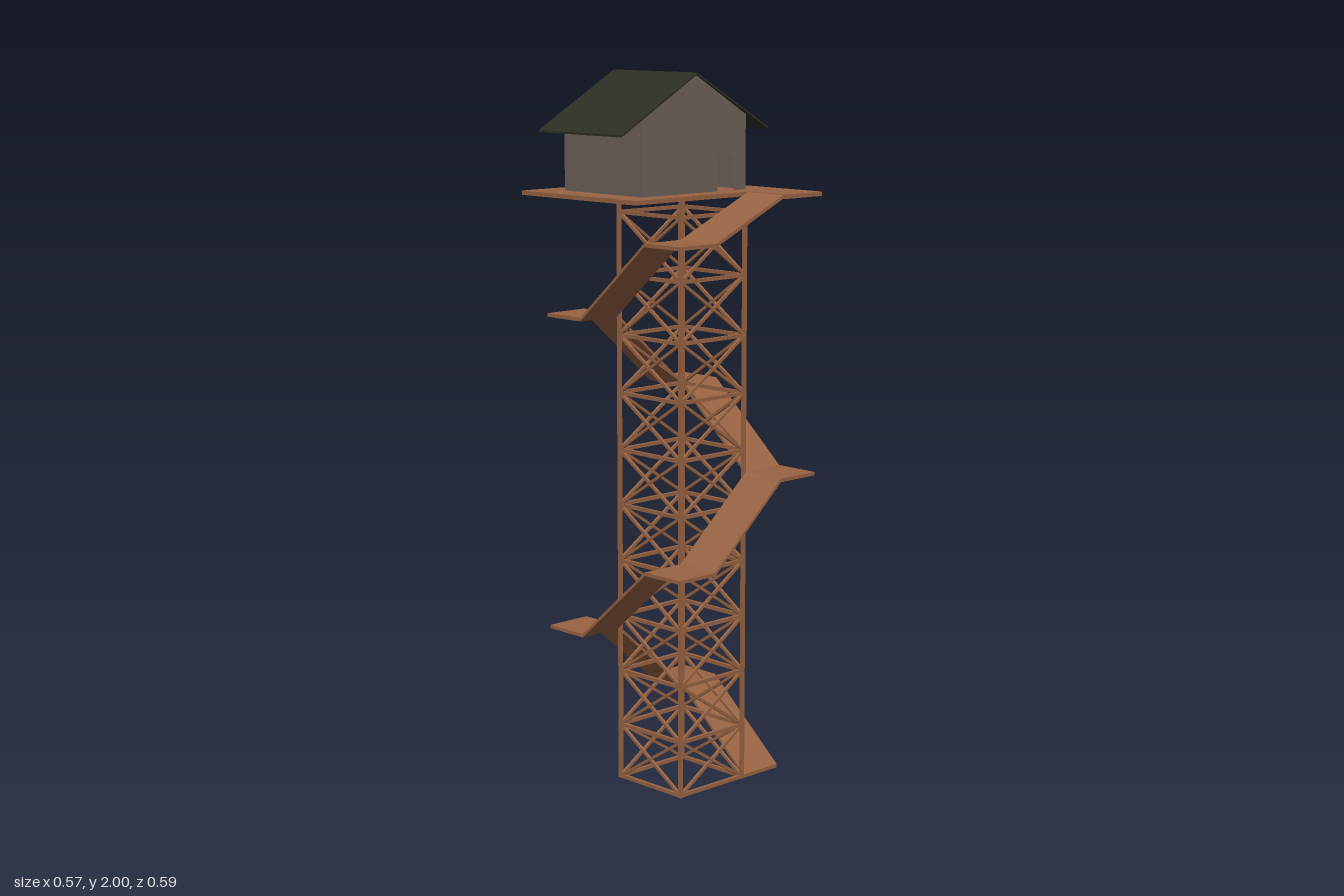
import * as THREE from 'three';

const CX = 0.008, CZ = 0.031;      // tower axis
const HALF = 0.127;                // half width of the tower
const WIDTH = 0.135;               // ramp and landing width
const RISE = 0.2225;               // climb of one ramp
const DECK = 1.67;

export function createModel() {
  const wood = new THREE.MeshStandardMaterial({ color: 0x986343 });
  wood.name = 'wood';
  const wallGrey = new THREE.MeshStandardMaterial({ color: 0x6d6158, side: THREE.DoubleSide });
  wallGrey.name = 'wallGrey';
  const roofDark = new THREE.MeshStandardMaterial({ color: 0x2d2e23 });
  roofDark.name = 'roofDark';

  const model = new THREE.Group();
  model.name = 'watchtower';
  const add = (parent, geometry, material, name) => {
    const mesh = new THREE.Mesh(geometry, material);
    mesh.name = name;
    parent.add(mesh);
    return mesh;
  };

  // Square beam between two points
  const up = new THREE.Vector3(0, 0, 1);
  const beam = (parent, a, b, size, name) => {
    const dir = new THREE.Vector3().subVectors(b, a);
    const mesh = add(parent, new THREE.BoxGeometry(size, size, dir.length()), wood, name);
    mesh.position.addVectors(a, b).multiplyScalar(0.5);
    mesh.quaternion.setFromUnitVectors(up, dir.normalize());
    return mesh;
  };
  const v = (x, y, z) => new THREE.Vector3(x, y, z);

  // Lattice: four equal faces turned around the tower axis
  const levels = [0.006, 0.16, 0.32, 0.48, 0.64, 0.8, 0.957, 1.118, 1.28, 1.447, 1.62];
  const p = HALF - 0.005;
  for (let side = 0; side < 4; side++) {
    const face = new THREE.Group();
    face.name = 'towerFace';
    face.position.set(CX, 0, CZ);
    face.rotation.y = side * Math.PI / 2;
    model.add(face);
    const post = add(face, new THREE.BoxGeometry(0.01, DECK, 0.01), wood, 'post');
    post.position.set(p, DECK / 2, p);
    levels.forEach((y, i) => {
      beam(face, v(p, y, -p), v(p, y, p), 0.01, 'crossbar');
      if (i + 1 < levels.length) {
        const top = levels[i + 1];
        beam(face, v(p, y, -p), v(p, top, p), 0.008, 'diagonalBrace');
        beam(face, v(p, y, p), v(p, top, -p), 0.008, 'diagonalBrace');
      }
    });
  }

  // Ramps winding around the tower, with a landing at each corner
  for (let k = 0; k < 8; k++) {
    const flight = new THREE.Group();
    flight.name = 'flight';
    flight.position.set(CX, 0, CZ);
    flight.rotation.y = k * Math.PI / 2;
    model.add(flight);
    const low = k === 0 ? 0.005 : k * RISE;
    const high = k === 7 ? DECK : (k + 1) * RISE;
    const geo = new THREE.BoxGeometry(WIDTH, 0.01, HALF * 2);
    const pos = geo.attributes.position;
    for (let i = 0; i < pos.count; i++) {
      const t = 0.5 - pos.getZ(i) / (HALF * 2);
      pos.setY(i, pos.getY(i) + low + (high - low) * t);
    }
    geo.computeVertexNormals();
    add(flight, geo, wood, 'ramp').position.x = HALF + WIDTH / 2;
    if (k < 7) {
      const landing = add(flight, new THREE.BoxGeometry(WIDTH, 0.01, WIDTH), wood, 'landing');
      landing.position.set(HALF + WIDTH / 2, high, -HALF - WIDTH / 2);
    }
  }

  // Platform, cut away at the front where the last ramp arrives
  const outline = (points) => new THREE.Shape(points.map(([x, y]) => new THREE.Vector2(x, y)));
  const deckShape = outline([
    [-0.285, -0.159], [0.135, -0.159], [0.135, -0.297],
    [0.283, -0.297], [0.283, 0.297], [-0.285, 0.297],
  ]);
  const deckGeo = new THREE.ExtrudeGeometry(deckShape, { depth: 0.012, bevelEnabled: false });
  deckGeo.rotateX(-Math.PI / 2);
  add(model, deckGeo, wood, 'platform').position.y = DECK - 0.006;

  // Hollow cabin with an open doorway in the front wall
  const cabin = new THREE.Group();
  cabin.name = 'cabin';
  model.add(cabin);
  const L = -0.2, R = 0.19, MID = -0.004, F = DECK + 0.005, EAVE = 1.882, TOP = 1.994;
  const back = -0.216, front = 0.096;
  const frontShape = outline([
    [L, F], [0.08, F], [0.08, 1.775], [0.143, 1.775], [0.143, F],
    [R, F], [R, EAVE], [MID, TOP], [L, EAVE],
  ]);
  const backShape = outline([[L, F], [R, F], [R, EAVE], [MID, TOP], [L, EAVE]]);
  add(cabin, new THREE.ShapeGeometry(frontShape), wallGrey, 'frontWall').position.z = front;
  const backGeo = new THREE.ShapeGeometry(backShape).scale(-1, 1, 1).rotateY(Math.PI);
  // Mirroring and half turn leave the outline in place while facing it backward
  add(cabin, backGeo, wallGrey, 'backWall').position.z = back;
  const idx = backGeo.index.array;
  for (let i = 0; i < idx.length; i += 3) [idx[i], idx[i + 1]] = [idx[i + 1], idx[i]];
  backGeo.computeVertexNormals();
  for (const [x, turn] of [[L, -1], [R, 1]]) {
    const geo = new THREE.PlaneGeometry(front - back, EAVE - F).rotateY(turn * Math.PI / 2);
    add(cabin, geo, wallGrey, 'sideWall').position.set(x, (EAVE + F) / 2, (front + back) / 2);
  }

  // Gabled roof
  const roofShape = outline([
    [-0.281, 1.838], [MID, 1.994], [0.275, 1.838],
    [0.275, 1.844], [MID, 2.0], [-0.281, 1.844],
  ]);
  const roofGeo = new THREE.ExtrudeGeometry(roofShape, { depth: 0.331, bevelEnabled: false });
  add(cabin, roofGeo, roofDark, 'roof').position.z = -0.229;

  return model;
}
